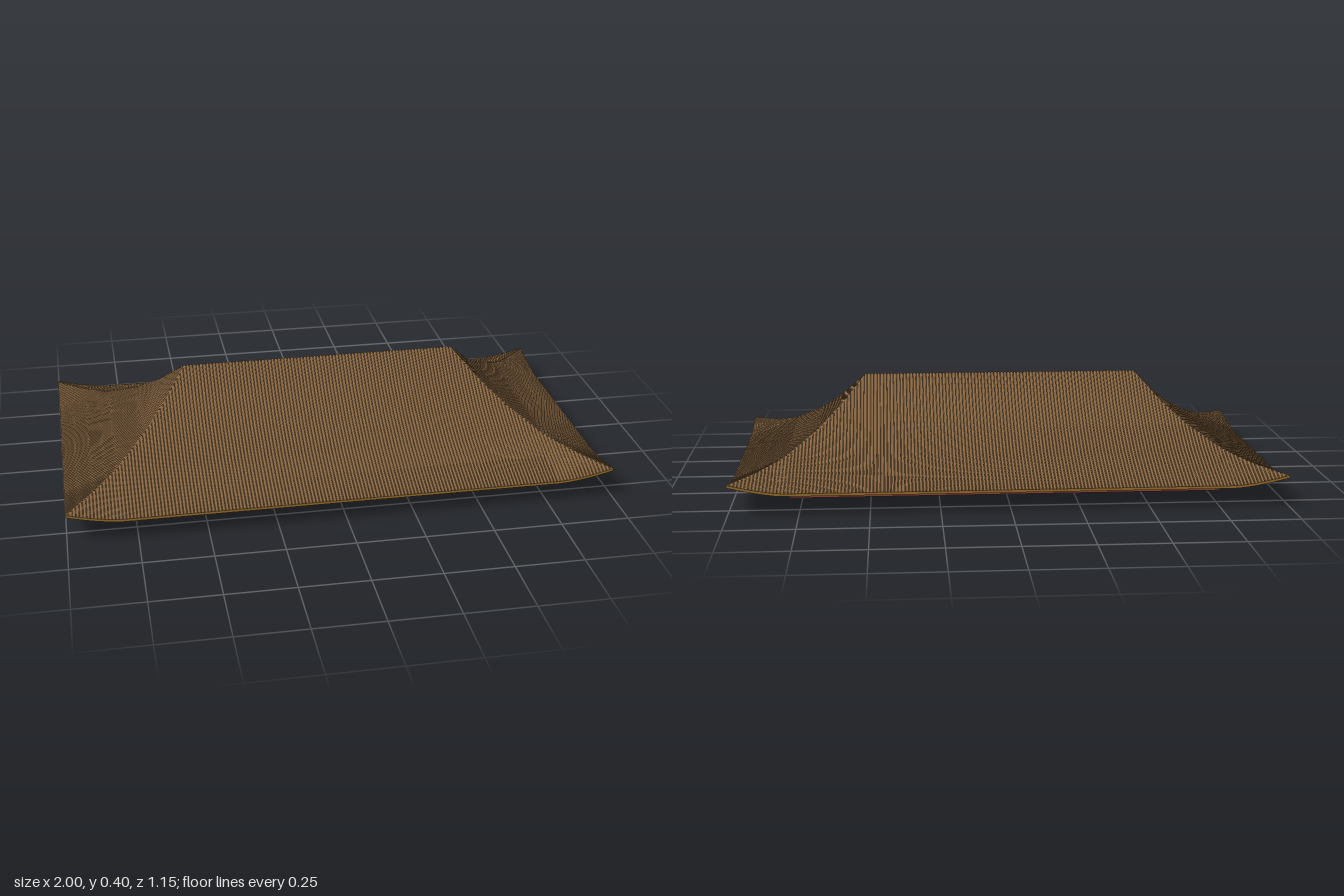
import * as THREE from 'three';
import { mergeGeometries } from 'three/addons/utils/BufferGeometryUtils.js';

const mat = (name, color, side = THREE.FrontSide) => {
  const m = new THREE.MeshStandardMaterial({ color, side });
  m.name = name;
  return m;
};

// Roof profile from ridge (t = 0) to eave (t = 1)
const PROFILE = [[0, 0.402], [0.19, 0.304], [0.365, 0.232], [0.59, 0.165], [0.78, 0.124], [1, 0.082]];
const STOPS = [0, 0.19, 0.365, 0.59, 0.68, 0.78, 0.89, 1];

function profileHeight(t) {
  for (let i = 1; i < PROFILE.length; i++) {
    const [t0, y0] = PROFILE[i - 1], [t1, y1] = PROFILE[i];
    if (t <= t1) return y0 + (y1 - y0) * (t - t0) / (t1 - t0);
  }
  return 0.082;
}

// Two slope types: a runs along the eave, z runs outward from the ridge
const LONG = { ridgeHalf: 0.52, eaveHalf: 1, start: 0, depth: 0.577, liftFrom: 0.8 };
const SHORT = { ridgeHalf: 0, eaveHalf: 0.577, start: 0.52, depth: 0.48, liftFrom: 0.34 };
const halfAt = (s, t) => s.ridgeHalf + (s.eaveHalf - s.ridgeHalf) * t;

// Point on a slope, with upturned corners
function roofPoint(s, a, t, drop) {
  const c = THREE.MathUtils.clamp((Math.abs(a) - s.liftFrom) / (s.eaveHalf - s.liftFrom), 0, 1);
  return [a, profileHeight(t) + 0.035 * Math.pow(c, 1.5) - drop, s.start + s.depth * t];
}

// Surface through rows and columns of points
function grid(rows, cols, fn, flip = false) {
  const pos = [], idx = [];
  for (let i = 0; i <= rows; i++) for (let j = 0; j <= cols; j++) pos.push(...fn(i, j));
  for (let i = 0; i < rows; i++) for (let j = 0; j < cols; j++) {
    const p = i * (cols + 1) + j, q = p + cols + 1;
    if (flip) idx.push(p, p + 1, q, p + 1, q + 1, q);
    else idx.push(p, q, p + 1, p + 1, q, q + 1);
  }
  const g = new THREE.BufferGeometry();
  g.setAttribute('position', new THREE.Float32BufferAttribute(pos, 3));
  g.setIndex(idx);
  g.computeVertexNormals();
  return g;
}

// Sheet over part of a slope
function sheet(s, stops, drop, flip) {
  const cols = 60;
  return grid(stops.length - 1, cols, (i, j) => {
    const t = stops[i];
    return roofPoint(s, halfAt(s, t) * (j / cols * 2 - 1), t, drop);
  }, flip);
}

// Rounded tile rows running down from the hip or ridge
function tileRows(s) {
  const r = 0.0048, parts = [];
  const arch = [[-r, 0.007], [-r * 0.55, 0.003], [r * 0.55, 0.003], [r, 0.007]];
  const n = Math.round(s.eaveHalf / 0.0125);
  for (let k = -n; k < n; k++) {
    const a = (k + 0.5) * s.eaveHalf / n;
    const t0 = Math.max(0, (Math.abs(a) - s.ridgeHalf) / (s.eaveHalf - s.ridgeHalf));
    const ts = [t0, ...STOPS.filter(t => t > t0 + 0.002)];
    parts.push(grid(ts.length - 1, 3, (i, j) => {
      const p = roofPoint(s, a, ts[i], arch[j][1]);
      p[0] += arch[j][0];
      return p;
    }));
  }
  return mergeGeometries(parts);
}

export function createModel() {
  const tile = mat('tile brown', 0x8a6843);
  const channel = mat('channel brown', 0x6e5336);
  const eave = mat('eave ochre', 0x9a6e2a, THREE.DoubleSide);
  const under = mat('underside grey', 0x3c383a);
  const red = mat('wall red', 0x8f423a);

  const model = new THREE.Group();
  model.name = 'hippedRoof';
  const add = (parent, name, geometry, material) => {
    const m = new THREE.Mesh(geometry, material);
    m.name = name;
    parent.add(m);
    return m;
  };

  // Four roof slopes
  for (const [s, turn, label] of [[LONG, 0, 'front'], [SHORT, 1, 'left'], [LONG, 2, 'back'], [SHORT, 3, 'right']]) {
    const slope = new THREE.Group();
    slope.name = label + 'Slope';
    slope.rotation.y = turn * Math.PI / 2;
    add(slope, 'tileRows', tileRows(s), tile);
    add(slope, 'tileChannels', sheet(s, STOPS, 0.007, false), channel);
    add(slope, 'eaveUnderside', sheet(s, STOPS, 0.013, true), under);
    add(slope, 'ceiling', sheet(s, STOPS.filter(t => t < 0.6), 0.02, true), red);
    add(slope, 'eaveEdge', grid(1, 60, (i, j) =>
      roofPoint(s, s.eaveHalf * (j / 30 - 1), 1, i ? 0.013 : 0.003)), eave);
    model.add(slope);
  }

  // Open wall frame under the roof
  const h = 0.085, w = 0.008;
  for (const sign of [-1, 1]) {
    add(model, sign > 0 ? 'frontWall' : 'backWall', new THREE.BoxGeometry(1.6, h, w), red)
      .position.set(0, h / 2, sign * (0.342 - w / 2));
    add(model, sign > 0 ? 'leftWall' : 'rightWall', new THREE.BoxGeometry(w, h, 0.684 - 2 * w), red)
      .position.set(sign * (0.8 - w / 2), h / 2, 0);
  }
  return model;
}
